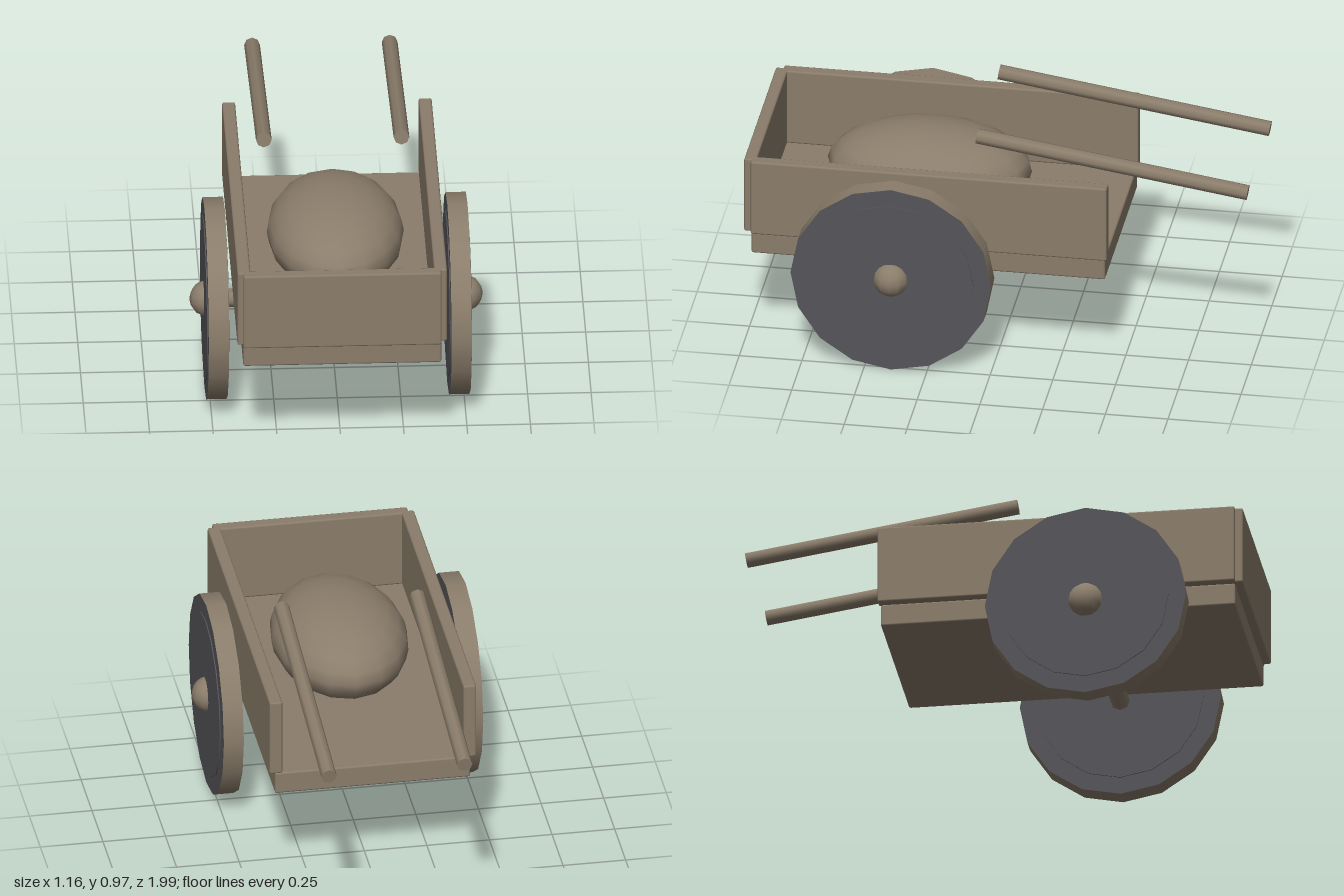
import * as THREE from 'three';
import { RoundedBoxGeometry } from 'three/addons/geometries/RoundedBoxGeometry.js';

export function createModel() {
  const cart = new THREE.Group();
  cart.name = 'handCart';
  const wood = new THREE.MeshStandardMaterial({ color: 0x8b7d6b });
  wood.name = 'wood';
  const iron = new THREE.MeshStandardMaterial({ color: 0x55555a });
  iron.name = 'darkIron';

  const add = (name, geometry, material, x = 0, y = 0, z = 0) => {
    const mesh = new THREE.Mesh(geometry, material);
    mesh.name = name;
    mesh.position.set(x, y, z);
    cart.add(mesh);
    return mesh;
  };
  // Box with slightly eased edges, given by its limits
  const plank = (name, x0, x1, y0, y1, z0, z1) => add(
    name, new RoundedBoxGeometry(x1 - x0, y1 - y0, z1 - z0, 1, 0.008), wood,
    (x0 + x1) / 2, (y0 + y1) / 2, (z0 + z1) / 2);
  // Cylinder lying along x
  const drum = (radius, length, sides) =>
    new THREE.CylinderGeometry(radius, radius, length, sides).rotateZ(Math.PI / 2);

  // Open-backed box
  plank('bed', -0.39, 0.39, 0.405, 0.497, -0.44, 0.97);
  plank('frontBoard', -0.39, 0.39, 0.5, 0.822, 0.95, 1.0);
  for (const [side, s] of [['left', 1], ['right', -1]]) {
    plank(side + 'SideBoard', s * 0.387 - 0.026, s * 0.387 + 0.026, 0.5, 0.822, -0.45, 0.97);
  }

  // Axle, wheels and hubs
  const axleY = 0.402, axleZ = 0.393;
  add('axle', drum(0.038, 0.94, 8), wood, 0, axleY, axleZ);
  for (const [side, s] of [['left', 1], ['right', -1]]) {
    // Wooden tread with dark faces
    add(side + 'Wheel', drum(0.4, 0.08, 16), [wood, iron, iron], s * 0.478, axleY, axleZ);
    add(side + 'WheelPlate', drum(0.33, 0.088, 16), iron, s * 0.478, axleY, axleZ);
    add(side + 'Hub', new THREE.SphereGeometry(0.072, 12, 8), wood, s * 0.506, axleY, axleZ);
  }

  // Sloping handles
  const front = new THREE.Vector3(0, 0.94, 0.09);
  const back = new THREE.Vector3(0, 0.78, -0.99);
  const run = front.clone().sub(back);
  for (const [side, s] of [['left', 1], ['right', -1]]) {
    const handle = add(side + 'Handle', new THREE.CylinderGeometry(0.031, 0.031, run.length(), 8), wood);
    handle.position.copy(front).add(back).multiplyScalar(0.5).setX(s * 0.271);
    handle.quaternion.setFromUnitVectors(new THREE.Vector3(0, 1, 0), run.clone().normalize());
  }

  // Rounded sack resting on the bed
  const sack = add('sack', new THREE.SphereGeometry(1, 16, 12), wood, 0, 0.653, 0.322);
  sack.scale.set(0.27, 0.172, 0.407);

  return cart;
}
